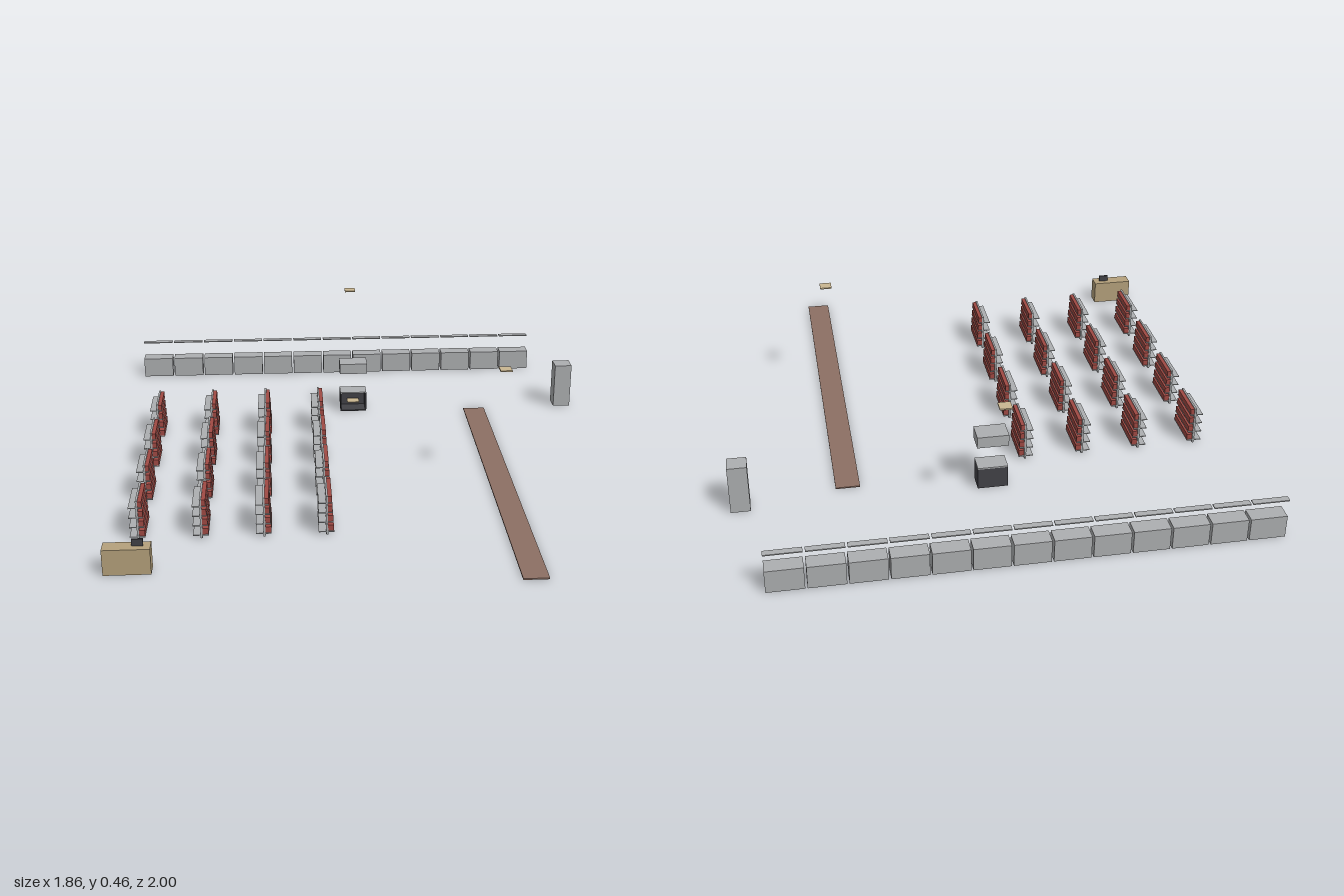
import * as THREE from 'three';

const mat = (name, color) => {
  const m = new THREE.MeshStandardMaterial({ color });
  m.name = name;
  return m;
};

export function createModel() {
  const grey = mat('steel grey', 0xadafb1);
  const dark = mat('charcoal', 0x424247);
  const red = mat('goods red', 0xa04a44);
  const brown = mat('walkway brown', 0x8d7064);
  const tan = mat('desk tan', 0xb5a17c);
  const cream = mat('lamp cream', 0xcab691);

  const model = new THREE.Group();
  model.name = 'shopInterior';

  // Box given by its lower and upper limits on each axis
  const box = (parent, name, material, [x0, x1], [y0, y1], [z0, z1]) => {
    const mesh = new THREE.Mesh(new THREE.BoxGeometry(x1 - x0, y1 - y0, z1 - z0), material);
    mesh.position.set((x0 + x1) / 2, (y0 + y1) / 2, (z0 + z1) / 2);
    mesh.name = name;
    parent.add(mesh);
    return mesh;
  };
  const group = (name, x = 0, y = 0, z = 0) => {
    const g = new THREE.Group();
    g.name = name;
    g.position.set(x, y, z);
    model.add(g);
    return g;
  };

  // Row of counters along the back wall, each with a thin rail above
  const pitch = 0.1356;
  for (let i = 0; i < 13; i++) {
    const x = -0.93 + i * pitch;
    const counter = group('counter', x);
    box(counter, 'counterBody', grey, [0, 0.128], [0, 0.084], [-1, -0.94]);
    box(counter, 'counterRail', grey, [0, 0.128], [0.146, 0.15], [-1, -0.976]);
  }

  // Display racks in a four by four grid
  for (let i = 0; i < 4; i++) {
    for (let j = 0; j < 4; j++) {
      const rack = group('rack', -0.812 + i * 0.217, 0, -0.302 + j * 0.29);
      box(rack, 'rackPanel', grey, [-0.001, 0.006], [0, 0.148], [-0.079, 0.079]);
      for (let k = 0; k < 4; k++) {
        const y = 0.013 + k * 0.0365;
        const front = 0.027 - k * 0.002;
        box(rack, 'rackShelf', grey, [-0.027, front], [y - 0.003, y], [-0.079, 0.079]);
        box(rack, 'goods', red, [0.006, front - 0.001], [y, y + 0.022], [-0.075, 0.075]);
      }
    }
  }

  // Oven with an open front, grey top and a tray inside
  const oven = group('oven');
  const ox = [-0.06, 0.05], oz = [-0.542, -0.47];
  box(oven, 'ovenFloor', dark, ox, [0, 0.005], oz);
  box(oven, 'ovenBack', dark, ox, [0.005, 0.08], [oz[0], oz[0] + 0.005]);
  box(oven, 'ovenSide', dark, [ox[0], ox[0] + 0.005], [0.005, 0.08], [oz[0] + 0.005, oz[1]]);
  box(oven, 'ovenSide', dark, [ox[1] - 0.005, ox[1]], [0.005, 0.08], [oz[0] + 0.005, oz[1]]);
  box(oven, 'ovenTop', grey, ox, [0.08, 0.085], oz);
  box(oven, 'ovenTray', cream, [-0.03, 0.02], [0.034, 0.037], [-0.525, -0.482]);

  // Extractor hood above the oven
  box(model, 'hood', grey, [-0.062, 0.053], [0.172, 0.215], [-0.543, -0.463]);

  // Tall cabinet
  box(model, 'cabinet', grey, [0.858, 0.928], [0, 0.183], [-0.542, -0.475]);

  // Long walkway on the floor
  box(model, 'walkway', brown, [0.466, 0.554], [0, 0.005], [-0.46, 1]);

  // Checkout desk and its screen
  box(model, 'desk', tan, [-0.903, -0.744], [0, 0.093], [0.833, 0.889]);
  box(model, 'screen', dark, [-0.806, -0.768], [0.093, 0.118], [0.857, 0.864]);

  // Flat ceiling lamps
  for (const [x, z] of [[-0.005, -0.735], [0.51, 0.27]]) {
    box(model, 'ceilingLamp', cream, [x - 0.022, x + 0.022], [0.454, 0.459], [z - 0.022, z + 0.022]);
  }

  return model;
}
